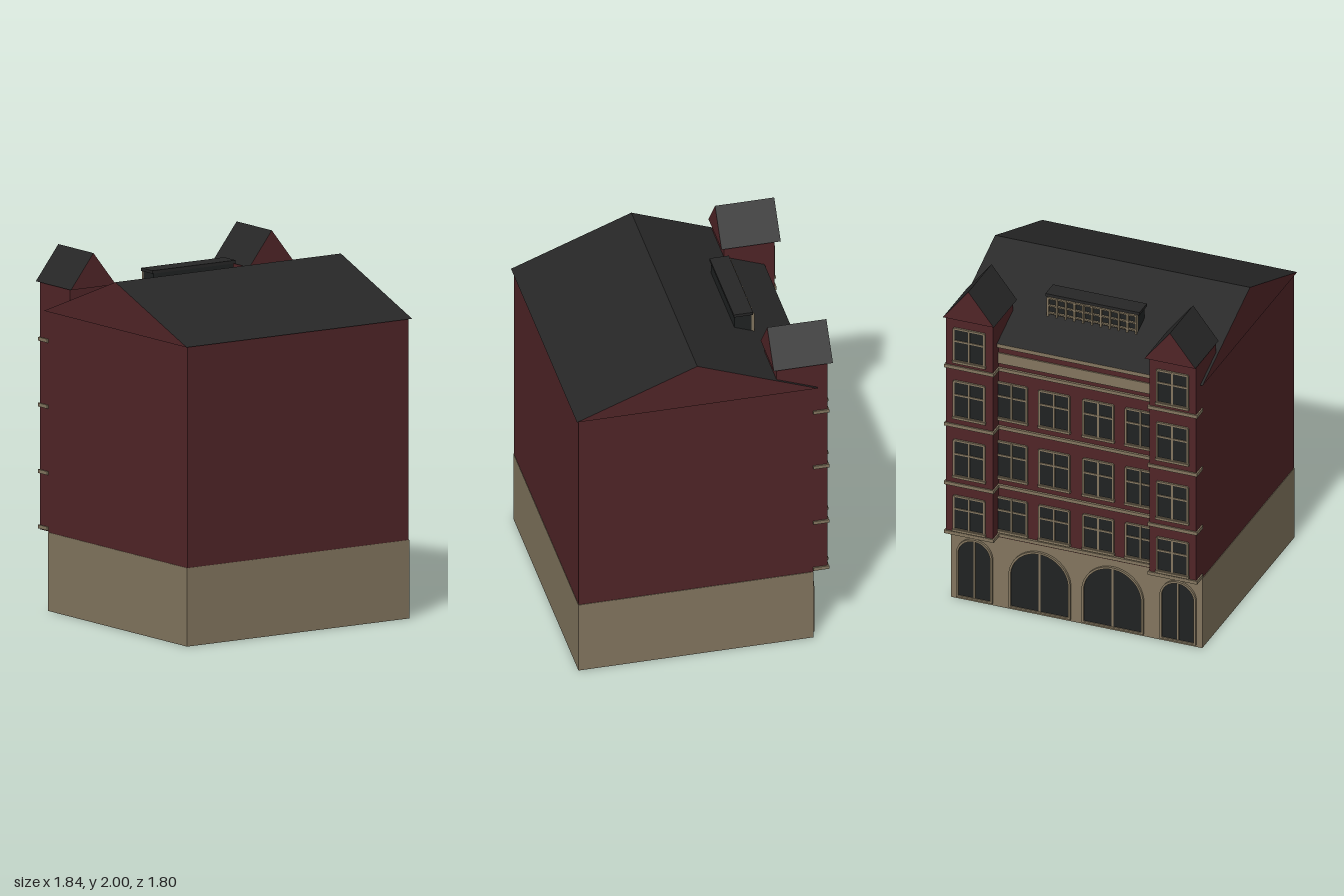
import * as THREE from 'three';

const mat = (name, color) => {
  const m = new THREE.MeshStandardMaterial({ color });
  m.name = name;
  return m;
};

export function createModel() {
  const brick = mat('dark red brick', 0x502427);
  const stone = mat('tan stone', 0x82755e);
  const slate = mat('dark slate', 0x262626);
  const glass = mat('dark glass', 0x1f2222);

  const model = new THREE.Group();
  model.name = 'townHouse';
  const house = new THREE.Group(); // the facade faces local -z
  house.name = 'house';
  house.rotation.y = 0.289;
  house.position.x = -0.003;
  model.add(house);

  const add = (name, geometry, material) => {
    const mesh = new THREE.Mesh(geometry, material);
    mesh.name = name;
    house.add(mesh);
    return mesh;
  };
  // box given by its limits on each axis
  const box = (name, material, x0, x1, y0, y1, z0, z1) => {
    const g = new THREE.BoxGeometry(x1 - x0, y1 - y0, z1 - z0);
    g.translate((x0 + x1) / 2, (y0 + y1) / 2, (z0 + z1) / 2);
    return add(name, g, material);
  };
  // triangular prism: brick gable ends, slate slopes
  const prism = (name, points, depth) => {
    const shape = new THREE.Shape(points.map(p => new THREE.Vector2(...p)));
    const g = new THREE.ExtrudeGeometry(shape, { depth, bevelEnabled: false });
    return add(name, g, [brick, slate]);
  };

  const W = 0.737, BACK = -0.616, FRONT = 0.7;

  // main body
  box('stoneBase', stone, -W - 0.003, W + 0.003, 0, 0.435, BACK, FRONT + 0.002);
  box('brickBody', brick, -W, W, 0.435, 1.66, BACK, FRONT);
  const roof = prism('mainRoof', [[-0.638, 1.66], [0.713, 1.66], [0.038, 1.92]], 1.502);
  roof.geometry.rotateY(-Math.PI / 2);
  roof.geometry.translate(0.751, 0, 0);

  // arched ground floor openings: glass, stone surround and mullions
  const archShape = (r, y0, spring) => {
    const s = new THREE.Shape();
    s.moveTo(-r, y0);
    s.lineTo(r, y0);
    s.lineTo(r, spring);
    s.absarc(0, spring, r, 0, Math.PI, false);
    s.lineTo(-r, y0);
    return s;
  };
  const arch = (x, r, top) => {
    const spring = top - r;
    const pane = new THREE.ExtrudeGeometry(archShape(r, 0.025, spring), { depth: 0.006, bevelEnabled: false, curveSegments: 16 });
    pane.translate(x, 0, BACK - 0.006);
    add('archGlass', pane, glass);
    const rim = archShape(r + 0.012, 0.015, spring);
    rim.holes.push(archShape(r, 0.025, spring));
    const frame = new THREE.ExtrudeGeometry(rim, { depth: 0.014, bevelEnabled: false, curveSegments: 16 });
    frame.translate(x, 0, BACK - 0.014);
    add('archSurround', frame, stone);
    box('archMullion', stone, x - 0.005, x + 0.005, 0.025, top, BACK - 0.01, BACK);
  };
  for (const s of [-1, 1]) {
    arch(s * 0.6, 0.095, 0.38);
    arch(s * 0.215, 0.17, 0.385);
  }

  // sash window with stone frame, cross bars and sill
  const window = (x, y0, y1, z, w) => {
    const h = w / 2, t = 0.005;
    box('windowGlass', glass, x - h, x + h, y0, y1, z - 0.006, z);
    for (const bx of [x - h, x, x + h])
      box('windowUpright', stone, bx - t, bx + t, y0, y1, z - 0.012, z);
    for (const by of [y0, y0 + (y1 - y0) * 0.62, y1])
      box('windowBar', stone, x - h, x + h, by - t, by + t, z - 0.011, z);
    box('windowSill', stone, x - h - 0.008, x + h + 0.008, y0 - 0.014, y0, z - 0.016, z);
  };
  const floors = [[0.485, 0.69], [0.82, 1.04], [1.19, 1.41], [1.54, 1.74]];
  const courses = [0.455, 0.762, 1.13, 1.495];

  for (const [y0, y1] of floors.slice(0, 3))
    for (const x of [-0.38, -0.13, 0.13, 0.38]) window(x, y0, y1, BACK, 0.175);

  // string courses, frieze and cornice between the towers
  for (const y of courses)
    box('stringCourse', stone, -0.47, 0.47, y - 0.01, y + 0.01, BACK - 0.014, BACK);
  box('frieze', stone, -0.47, 0.47, 1.53, 1.595, BACK - 0.008, BACK);
  box('cornice', stone, -0.47, 0.47, 1.635, 1.658, BACK - 0.02, BACK);

  // projecting towers with gabled roofs
  for (const s of [-1, 1]) {
    const c = s * 0.599, z = -0.695;
    box('tower', brick, c - 0.138, c + 0.138, 0.44, 1.81, z, -0.41);
    for (const y of courses)
      box('towerCourse', stone, c - 0.146, c + 0.146, y - 0.01, y + 0.01, z - 0.009, BACK);
    for (const [y0, y1] of floors) window(c, y0, y1, z, 0.18);
    const cap = prism('towerRoof', [[-0.15, 1.81], [0.15, 1.81], [0, 2]], 0.332);
    cap.geometry.translate(s * 0.594, 0, -0.725);
  }

  // long low dormer on the facade slope
  box('dormerBody', glass, -0.265, 0.265, 1.74, 1.87, -0.385, -0.29);
  box('dormerRoof', slate, -0.277, 0.277, 1.868, 1.885, -0.392, -0.284);
  for (const y of [1.77, 1.815, 1.86])
    box('dormerRail', stone, -0.265, 0.265, y - 0.004, y + 0.004, -0.398, -0.385);
  for (let i = 0; i <= 10; i++) {
    const x = -0.26 + i * 0.052;
    box('dormerPost', stone, x - 0.005, x + 0.005, 1.745, 1.868, -0.402, -0.385);
  }

  return model;
}
